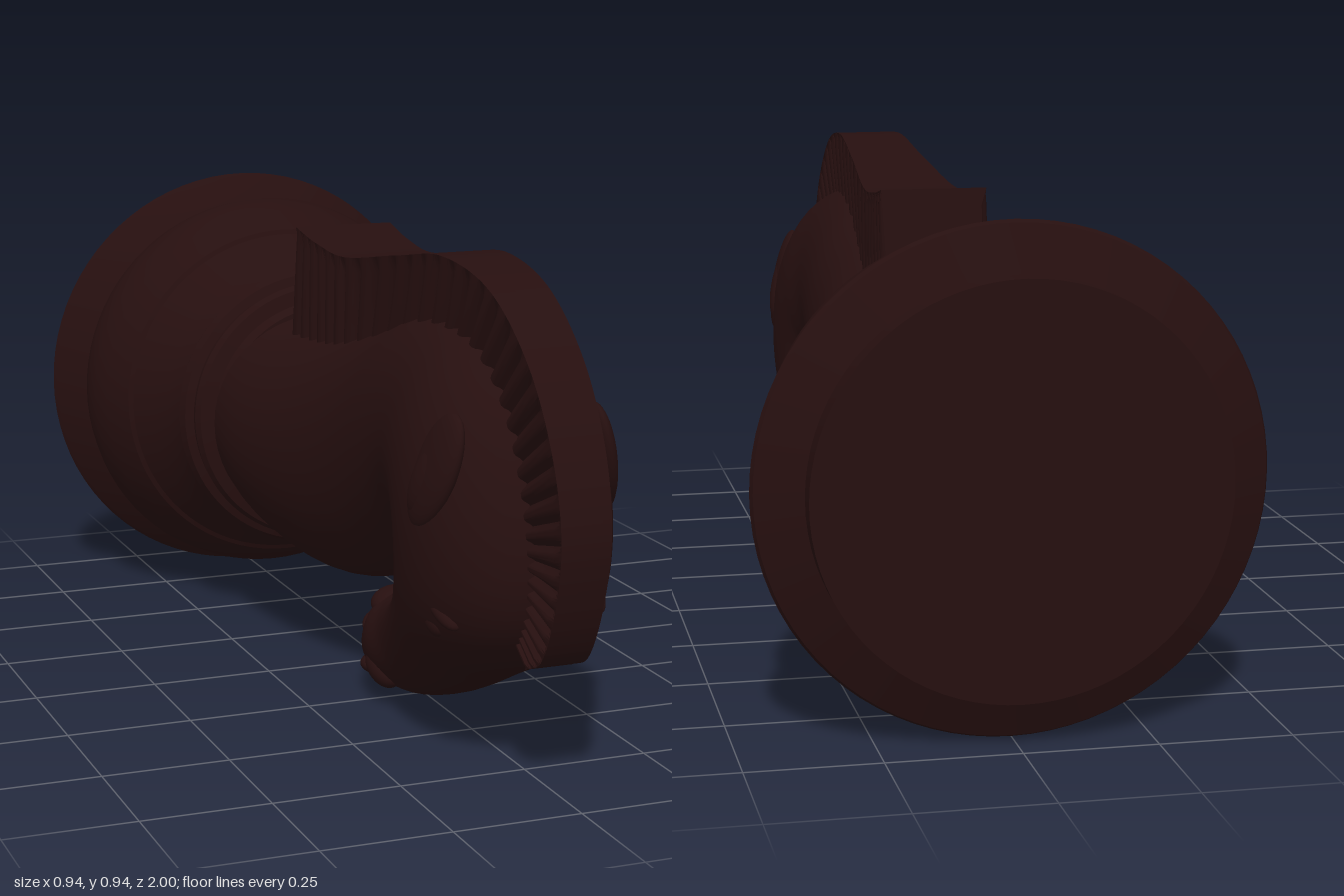
import * as THREE from 'three';
import { toCreasedNormals } from 'three/addons/utils/BufferGeometryUtils.js';

// Skin a list of closed rings, capping both ends
function loft(rings) {
  const n = rings[0].length, pos = [], idx = [];
  rings.forEach(r => r.forEach(p => pos.push(p.x, p.y, p.z)));
  for (let i = 0; i < rings.length - 1; i++) {
    for (let j = 0; j < n; j++) {
      const a = i * n + j, b = i * n + (j + 1) % n;
      idx.push(a, b, b + n, a, b + n, a + n);
    }
  }
  const last = (rings.length - 1) * n;
  for (let j = 1; j < n - 1; j++) {
    idx.push(0, j + 1, j, last, last + j, last + j + 1);
  }
  const g = new THREE.BufferGeometry();
  g.setAttribute('position', new THREE.Float32BufferAttribute(pos, 3));
  g.setIndex(idx);
  g.computeVertexNormals();
  return g;
}

// Stations [outerZ, outerY, innerZ, innerY, halfWidth] become two smooth guide curves;
// the width travels along in x
function guides(stations) {
  const curve = f => new THREE.CatmullRomCurve3(stations.map(f), false, 'catmullrom', 0.5);
  return [
    curve(([z, y, , , w]) => new THREE.Vector3(w, y, z)),
    curve(([, , z, y, w]) => new THREE.Vector3(w, y, z)),
  ];
}

export function createModel() {
  const model = new THREE.Group();
  const wood = new THREE.MeshStandardMaterial({ color: 0x260f0f });
  wood.name = 'dark wood';
  const add = (name, geometry) => {
    const m = new THREE.Mesh(geometry, wood);
    m.name = name;
    model.add(m);
    return m;
  };

  // Turned base lying on its side: [radius, z]
  const profile = [
    [0, -1], [0.38, -1], [0.38, -0.955], [0.465, -0.915], [0.47, -0.905], [0.463, -0.895],
    [0.395, -0.845], [0.408, -0.82], [0.422, -0.785], [0.43, -0.74], [0.425, -0.70],
    [0.41, -0.66], [0.385, -0.615], [0.375, -0.60], [0.365, -0.595], [0.335, -0.55], [0.31, -0.51],
    [0.295, -0.47], [0.29, -0.445], [0.303, -0.44], [0.31, -0.42], [0.303, -0.40],
    [0.285, -0.393], [0.288, -0.375], [0.28, -0.36], [0.25, -0.352], [0.24, -0.33], [0, -0.33],
  ].map(([r, z]) => new THREE.Vector2(r, z));
  const baseGeo = toCreasedNormals(new THREE.LatheGeometry(profile, 80), 0.5);
  baseGeo.rotateX(Math.PI / 2).translate(0, 0.47, 0);
  add('turnedBase', baseGeo);

  // Neck and head, swept around the throat down to the muzzle
  const [back, throat] = guides([
    [-0.40, 0.70, -0.40, 0.24, 0.25],
    [-0.22, 0.69, -0.26, 0.20, 0.25],
    [0.00, 0.71, -0.08, 0.18, 0.225],
    [0.20, 0.76, 0.10, 0.21, 0.195],
    [0.36, 0.81, 0.25, 0.29, 0.18],
    [0.52, 0.82, 0.35, 0.37, 0.175],
    [0.67, 0.78, 0.405, 0.398, 0.19],
    [0.79, 0.67, 0.42, 0.395, 0.20],
    [0.86, 0.50, 0.41, 0.375, 0.20],
    [0.86, 0.34, 0.385, 0.33, 0.19],
    [0.78, 0.225, 0.34, 0.275, 0.17],
    [0.61, 0.135, 0.28, 0.235, 0.145],
    [0.45, 0.06, 0.23, 0.222, 0.13],
    [0.32, 0.02, 0.19, 0.21, 0.13],
    [0.23, 0.025, 0.165, 0.165, 0.115],
    [0.155, 0.035, 0.135, 0.125, 0.08],
  ]);
  const bodyRings = [];
  for (let i = 0; i <= 100; i++) {
    const o = back.getPoint(i / 100), n = throat.getPoint(i / 100);
    const ring = [];
    for (let j = 0; j < 48; j++) {
      const a = j / 48 * Math.PI * 2, c = Math.cos(a), s = Math.sin(a);
      const k = (s + 1) / 2;
      const x = o.x * Math.sign(c) * Math.pow(Math.abs(c), 0.88);
      ring.push(new THREE.Vector3(x, n.y + (o.y - n.y) * k, n.z + (o.z - n.z) * k));
    }
    bodyRings.push(ring);
  }
  add('neckAndHead', loft(bodyRings));

  // Flat-topped mane with grooved flanks, running on into the forelock
  const [crest, root] = guides([
    [-0.215, 0.905, -0.262, 0.62, 0.11],
    [-0.10, 0.885, -0.11, 0.62, 0.105],
    [0.05, 0.877, 0.03, 0.62, 0.098],
    [0.30, 0.915, 0.20, 0.65, 0.08],
    [0.50, 0.94, 0.42, 0.72, 0.07],
    [0.70, 0.905, 0.57, 0.72, 0.062],
    [0.86, 0.80, 0.70, 0.66, 0.058],
    [0.96, 0.66, 0.78, 0.56, 0.055],
    [1.00, 0.51, 0.80, 0.46, 0.052],
    [0.975, 0.37, 0.80, 0.40, 0.05],
    [0.92, 0.265, 0.79, 0.34, 0.05],
    [0.85, 0.23, 0.78, 0.28, 0.05],
  ]);
  const maneRings = [], steps = 272;
  for (let i = 0; i <= steps; i++) {
    const t = i / steps, o = crest.getPoint(t), n = root.getPoint(t);
    const groove = 0.014 * Math.pow(Math.abs(Math.cos(t * Math.PI * 34)), 4);
    const at = (k, w) => new THREE.Vector3(w, n.y + (o.y - n.y) * k, n.z + (o.z - n.z) * k);
    const w = o.x, g = w - groove;
    maneRings.push([
      at(0, g), at(0.5, g), at(0.88, g), at(1, w - 0.003),
      at(1, -w + 0.003), at(0.88, -g), at(0.5, -g), at(0, -g),
    ]);
  }
  add('mane', toCreasedNormals(loft(maneRings), 0.6));

  // Mirrored features of the face
  const ball = new THREE.SphereGeometry(1, 28, 18);
  const features = [
    // name, position, scale, rotation
    ['Ear', [0.165, 0.58, 0.705], [0.026, 0.12, 0.068], [0.4, 0, 0.22]],
    ['EarHollowRim', [0.172, 0.565, 0.69], [0.027, 0.085, 0.04], [0.4, 0, 0.22]],
    ['Brow', [0.145, 0.325, 0.70], [0.03, 0.022, 0.07], [0.5, 0, 0]],
    ['Eye', [0.15, 0.29, 0.675], [0.022, 0.028, 0.04], [0.5, 0, 0]],
    ['Nostril', [0.095, 0.075, 0.27], [0.035, 0.035, 0.06], [0.4, 0, 0]],
    ['UpperLip', [0.055, 0.055, 0.195], [0.06, 0.025, 0.055], [0, 0, 0]],
    ['LowerLip', [0.045, 0.12, 0.17], [0.055, 0.022, 0.062], [-0.35 + 0.75, 0, 0]],
    ['Chin', [0.04, 0.185, 0.215], [0.06, 0.034, 0.05], [0.3, 0, 0]],
  ];
  for (const [name, p, s, r] of features) {
    for (const side of [1, -1]) {
      const m = add((side > 0 ? 'left' : 'right') + name, ball);
      m.position.set(p[0] * side, p[1], p[2]);
      m.scale.set(...s);
      m.rotation.set(r[0], r[1] * side, r[2] * side);
    }
  }
  return model;
}
